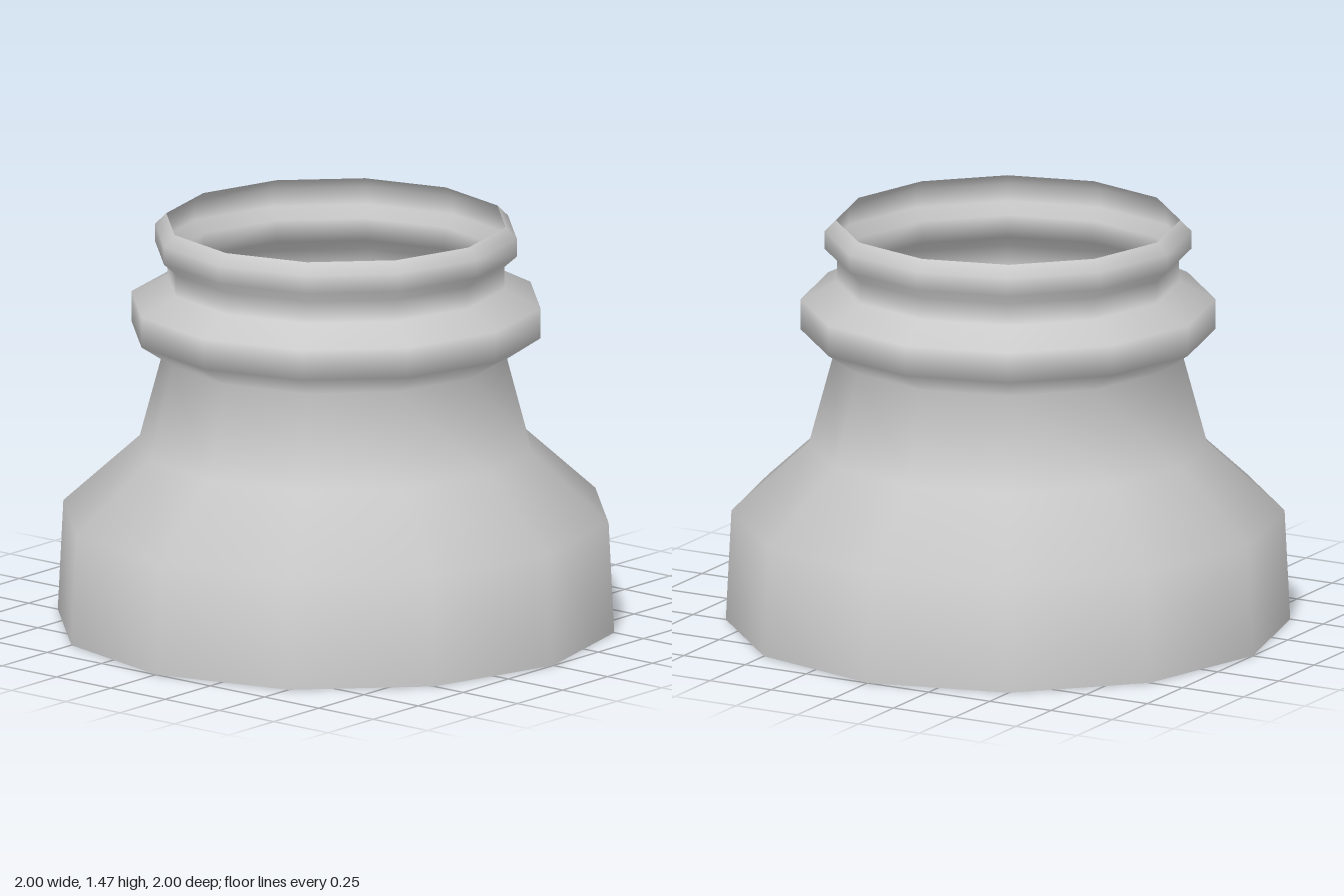
import * as THREE from 'three';

const SIDES = 12;

export function createModel() {
  const group = new THREE.Group();
  group.name = 'openNeckedPot';
  const material = new THREE.MeshStandardMaterial({ color: 0xcccccc, side: THREE.DoubleSide });

  // Thin wall from foot to rim: [radius, height]
  const profile = [
    [1, 0], [0.98, 0.4],            // base band
    [0.705, 0.65], [0.615, 0.985],  // shoulder and neck
    [0.735, 1.065], [0.735, 1.175], // collar
    [0.605, 1.24], [0.605, 1.32],   // groove
    [0.65, 1.36], [0.65, 1.425], [0.61, 1.465], // lip
  ].map(([r, y]) => new THREE.Vector2(r, y));
  const wall = new THREE.Mesh(new THREE.LatheGeometry(profile, SIDES), material);
  wall.name = 'wall';
  group.add(wall);

  // Flat floor closing the foot, facing down
  const floor = new THREE.Mesh(new THREE.CircleGeometry(1, SIDES), material);
  floor.name = 'floor';
  floor.rotation.x = Math.PI / 2;
  group.add(floor);

  return group;
}
